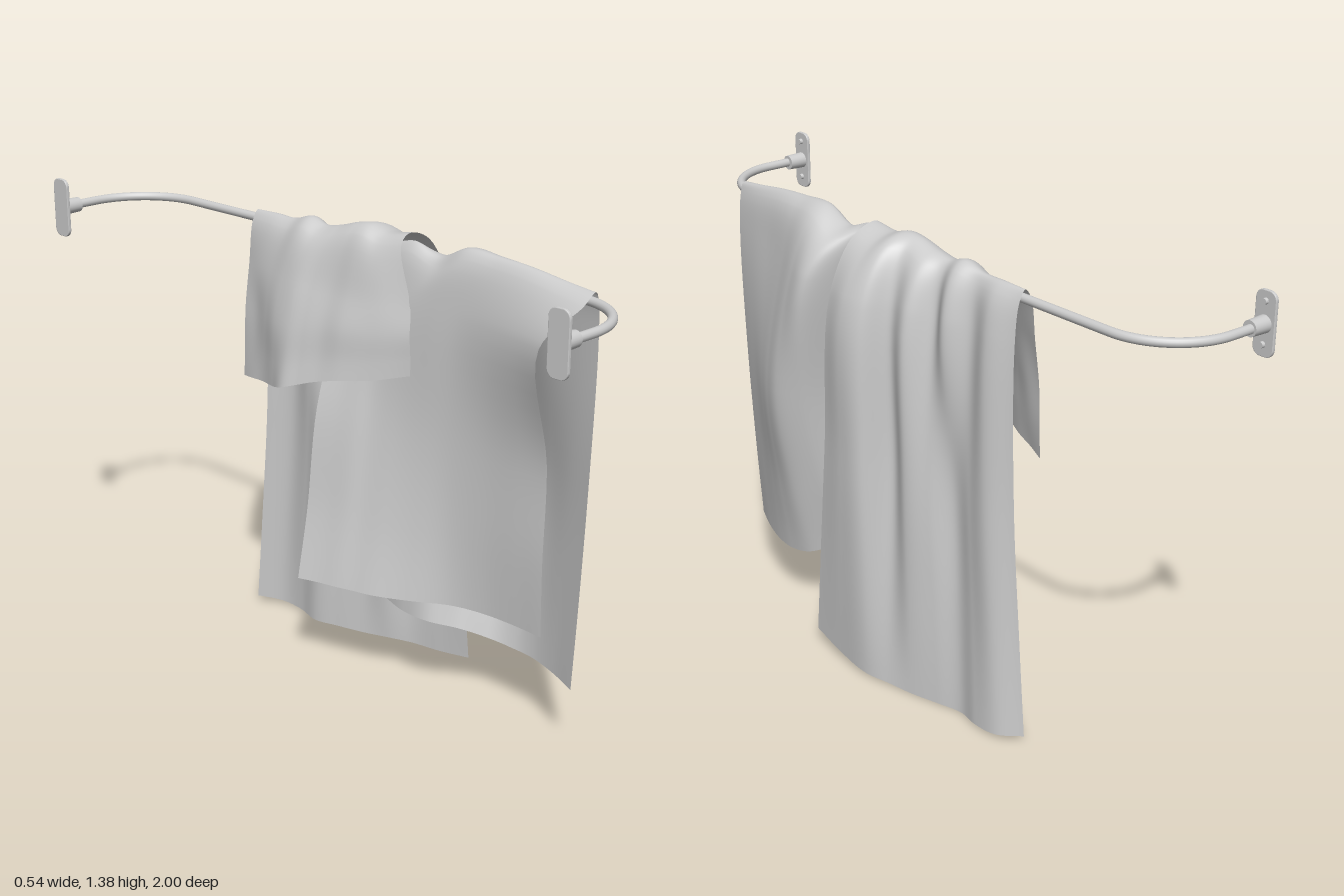
import * as THREE from 'three';

const RAIL_X = 0.072, RAIL_Y = 1.295;
const V = (x, y, z) => new THREE.Vector3(x, y, z);
const lerp = THREE.MathUtils.lerp;
const metal = new THREE.MeshStandardMaterial({ color: 0xcccccc });
const cloth = new THREE.MeshStandardMaterial({ color: 0xcccccc, side: THREE.DoubleSide });

function add(parent, name, geometry, material = metal) {
  const mesh = new THREE.Mesh(geometry, material);
  mesh.name = name;
  parent.add(mesh);
  return mesh;
}

// Rail: straight bar with a quarter bend towards the wall at each end
function railGeometry() {
  const r = 0.21, k = r * 0.552, zEnd = 0.97, xBend = RAIL_X - r;
  const bend = (s) => [
    V(xBend, RAIL_Y, s * zEnd), V(xBend + k, RAIL_Y, s * zEnd),
    V(RAIL_X, RAIL_Y, s * (zEnd - r + k)), V(RAIL_X, RAIL_Y, s * (zEnd - r))];
  const a = bend(1), b = bend(-1).reverse();
  const path = new THREE.CurvePath();
  path.add(new THREE.LineCurve3(V(-0.22, RAIL_Y, zEnd), a[0]));
  path.add(new THREE.CubicBezierCurve3(...a));
  path.add(new THREE.LineCurve3(a[3], b[0]));
  path.add(new THREE.CubicBezierCurve3(...b));
  path.add(new THREE.LineCurve3(b[3], V(-0.22, RAIL_Y, -zEnd)));
  return new THREE.TubeGeometry(path, 160, 0.013, 16);
}

// Wall bracket: rounded plate, socket and two screws
function bracket() {
  const g = new THREE.Group();
  g.name = 'wallBracket';
  const w = 0.031, h = 0.086, r = 0.022;
  const s = new THREE.Shape();
  s.moveTo(-w + r, -h);
  s.lineTo(w - r, -h);
  s.absarc(w - r, -h + r, r, -Math.PI / 2, 0);
  s.absarc(w - r, h - r, r, 0, Math.PI / 2);
  s.absarc(-w + r, h - r, r, Math.PI / 2, Math.PI);
  s.absarc(-w + r, -h + r, r, Math.PI, Math.PI * 1.5);
  const plate = new THREE.ExtrudeGeometry(s, {
    depth: 0.006, bevelThickness: 0.002, bevelSize: 0.002, bevelSegments: 2, curveSegments: 8 });
  add(g, 'plate', plate.rotateY(Math.PI / 2)).position.x = -0.268;
  const socket = new THREE.CylinderGeometry(0.022, 0.024, 0.055, 24).rotateZ(-Math.PI / 2);
  add(g, 'socket', socket).position.x = -0.233;
  for (const y of [-0.055, 0.06]) {
    const head = new THREE.CylinderGeometry(0.008, 0.009, 0.01, 16).rotateZ(-Math.PI / 2);
    add(g, 'screw', head).position.set(-0.256, y, 0);
  }
  return g;
}

// Draped towel: each station is a strip running from back hem, over the rail, to front hem:
// [z, topY, front shoulderX, midX, hemX, hemY, hemZ, back shoulderX, midX, hemX, hemY, hemZ]
// Drift: how far a strip has moved from z to hemZ at its shoulder, middle and lower part
function towelGeometry(stations, frontDrift, backDrift, nu = 100, nv = 70) {
  const strips = stations.map(([z, top, fs, fm, fh, fy, fz, bs, bm, bh, by, bz]) => {
    const side = (sx, mx, hx, hy, hz, drift) => [
      V(lerp(RAIL_X, sx, 0.52), top - 0.03, z),
      V(sx, 1.17, lerp(z, hz, drift[0])),
      V(mx, lerp(1.17, hy, 0.4), lerp(z, hz, drift[1])),
      V(lerp(mx, hx, 0.5), lerp(1.17, hy, 0.75), lerp(z, hz, drift[2])),
      V(hx, hy, hz)];
    return new THREE.CatmullRomCurve3([
      ...side(bs, bm, bh, by, bz, backDrift).reverse(), V(RAIL_X, top, z),
      ...side(fs, fm, fh, fy, fz, frontDrift)], false, 'centripetal');
  });
  const geo = new THREE.PlaneGeometry(1, 1, nu, nv);
  const pos = geo.attributes.position;
  for (let j = 0; j <= nv; j++) {
    const row = new THREE.CatmullRomCurve3(strips.map((c) => c.getPoint(j / nv)), false, 'centripetal');
    for (let i = 0; i <= nu; i++) {
      const p = row.getPoint(i / nu);
      pos.setXYZ(j * (nu + 1) + i, p.x, p.y, p.z);
    }
  }
  geo.computeVertexNormals();
  return geo;
}

const underTowel = [
  [0.81, 1.32, 0.095, 0.09, 0.057, 0.20, 0.80, -0.03, 0.045, 0.055, 0.32, 0.69],
  [0.72, 1.33, 0.11, 0.13, 0.10, 0.20, 0.70, -0.01, 0.04, 0.06, 0.32, 0.60],
  [0.60, 1.345, 0.13, 0.18, 0.13, 0.20, 0.60, 0.01, 0.035, 0.055, 0.32, 0.48],
  [0.49, 1.352, 0.16, 0.215, 0.135, 0.20, 0.53, 0.02, 0.025, 0.03, 0.32, 0.38],
  [0.38, 1.355, 0.20, 0.235, 0.12, 0.21, 0.46, 0.015, 0.01, -0.03, 0.32, 0.28],
  [0.28, 1.315, 0.22, 0.20, 0.06, 0.24, 0.39, 0.015, -0.005, -0.08, 0.32, 0.18],
  [0.19, 1.34, 0.08, 0.07, 0.0, 0.26, 0.32, 0.02, -0.02, -0.10, 0.32, 0.11],
  [0.11, 1.325, 0.10, 0.04, 0.0, 0.26, 0.22, 0.03, -0.04, -0.115, 0.32, 0.06],
  [0.03, 1.325, 0.10, 0.06, 0.04, 0.27, 0.06, 0.04, -0.055, -0.13, 0.32, 0.0],
  [-0.05, 1.32, 0.105, 0.08, 0.06, 0.28, -0.15, 0.04, -0.07, -0.15, 0.32, -0.06]];

const overTowel = [
  [0.16, 1.355, 0.235, 0.245, 0.222, 0.05, 0.285, 0.015, 0.0, 0.0, 0.98, 0.24],
  [0.08, 1.345, 0.255, 0.26, 0.23, 0.025, 0.16, -0.01, -0.03, -0.04, 0.95, 0.13],
  [0.02, 1.36, 0.24, 0.25, 0.232, 0.01, 0.04, -0.02, -0.05, -0.07, 0.93, 0.02],
  [-0.03, 1.355, 0.175, 0.175, 0.21, 0.005, -0.05, -0.02, -0.05, -0.08, 0.91, -0.06],
  [-0.10, 1.335, 0.185, 0.195, 0.19, 0.0, -0.13, -0.03, -0.06, -0.09, 0.89, -0.12],
  [-0.16, 1.325, 0.13, 0.165, 0.165, 0.0, -0.22, -0.04, -0.07, -0.10, 0.87, -0.18],
  [-0.22, 1.34, 0.155, 0.125, 0.145, 0.0, -0.30, -0.03, -0.06, -0.07, 0.85, -0.25],
  [-0.29, 1.322, 0.115, 0.135, 0.16, 0.005, -0.38, -0.01, -0.03, -0.04, 0.84, -0.32],
  [-0.37, 1.322, 0.135, 0.15, 0.155, 0.01, -0.46, 0.01, 0.0, -0.02, 0.83, -0.39],
  [-0.455, 1.32, 0.11, 0.115, 0.11, 0.02, -0.53, 0.03, 0.01, 0.0, 0.82, -0.45]];

export function createModel() {
  const model = new THREE.Group();
  model.name = 'towelRail';
  add(model, 'rail', railGeometry());
  for (const s of [1, -1]) {
    const b = bracket();
    b.position.set(0, RAIL_Y, s * 0.967);
    model.add(b);
  }
  const backDrift = [0.8, 0.95, 1];
  add(model, 'underTowel', towelGeometry(underTowel, [0.25, 0.8, 0.95], backDrift), cloth);
  add(model, 'overTowel', towelGeometry(overTowel, [0.06, 0.27, 0.68], backDrift), cloth);
  return model;
}
